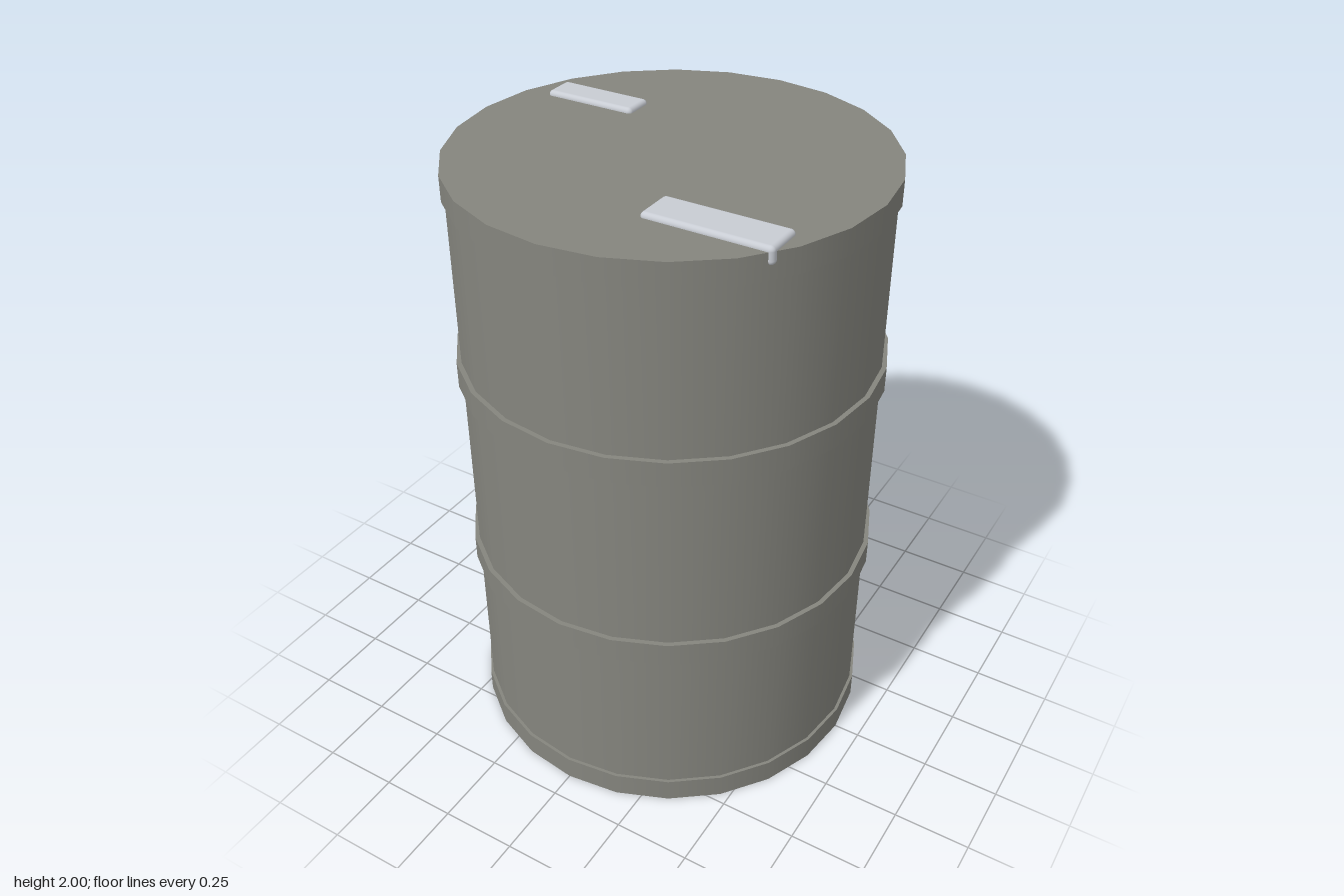
import * as THREE from 'three';
import { RoundedBoxGeometry } from 'three/addons/geometries/RoundedBoxGeometry.js';

const SIDES = 24;

export function createModel() {
  const barrel = new THREE.Group();
  barrel.name = 'barrel';

  const drumGrey = new THREE.MeshStandardMaterial({ color: 0x85857e });
  drumGrey.name = 'drumGrey';
  const capSilver = new THREE.MeshStandardMaterial({ color: 0xc8ccd3 });
  capSilver.name = 'capSilver';

  const add = (name, geometry, material, x, y, z) => {
    const mesh = new THREE.Mesh(geometry, material);
    mesh.name = name;
    mesh.position.set(x, y, z);
    barrel.add(mesh);
  };

  // Upright ring or shell between two heights
  const ring = (name, radius, bottom, top, open = false) => add(
    name,
    new THREE.CylinderGeometry(radius, radius, top - bottom, SIDES, 1, open),
    drumGrey, 0, (bottom + top) / 2, 0,
  );

  // Drum wall, the capped end rims and the two raised hoops
  ring('wall', 0.655, 0.04, 1.94, true);
  ring('bottomRim', 0.665, 0, 0.08);
  ring('topRim', 0.665, 1.905, 1.985);
  ring('lowerHoop', 0.67, 0.615, 0.695);
  ring('upperHoop', 0.67, 1.292, 1.375);

  // Rounded plates sunk into the lid
  const plate = (name, x0, x1, z0, z1) => add(
    name,
    new RoundedBoxGeometry(x1 - x0, 0.055, z1 - z0, 3, 0.014),
    capSilver, (x0 + x1) / 2, 2 - 0.055 / 2, (z0 + z1) / 2,
  );
  plate('smallLidPlate', -0.56, -0.255, -0.28, -0.177);
  plate('largeLidPlate', 0.14, 0.537, 0.272, 0.402);

  return barrel;
}
